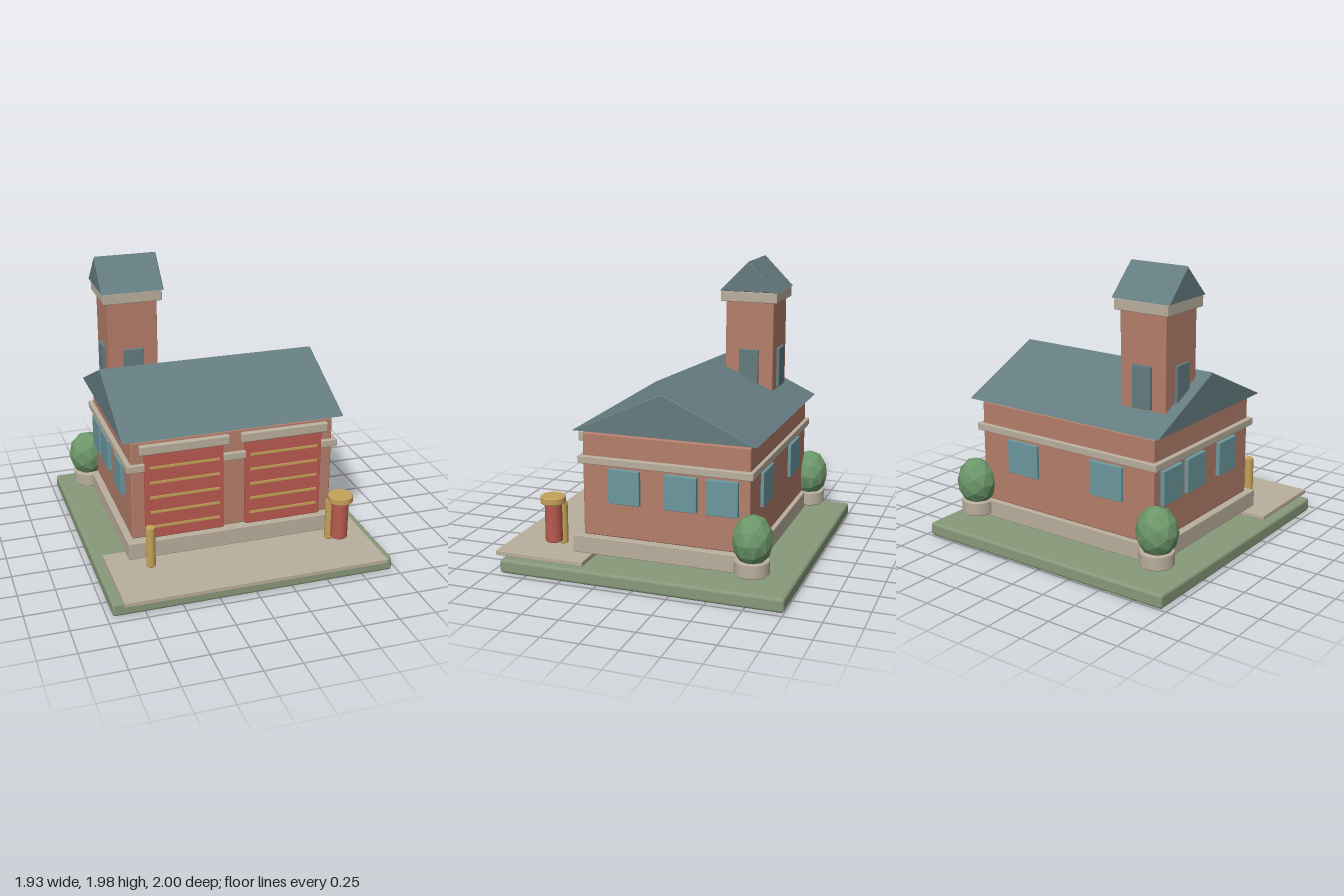
import * as THREE from 'three';
import { RoundedBoxGeometry } from 'three/addons/geometries/RoundedBoxGeometry.js';

function mat(name, color, flat = false) {
  const m = new THREE.MeshStandardMaterial({ color, flatShading: flat });
  m.name = name;
  return m;
}

export function createModel() {
  const brick = mat('brick', 0xb47e6b);
  const stone = mat('stone', 0xbaaf9d);
  const slate = mat('slate', 0x647c80, true);
  const grass = mat('grass', 0x87997a);
  const leaf = mat('leaf', 0x6c976a, true);
  const red = mat('red', 0xb95a4e);
  const gold = mat('gold', 0xc4a258);
  const glass = mat('glass', 0x6c989f);

  const model = new THREE.Group();
  model.name = 'fireStation';

  const add = (name, geometry, material, x, y, z) => {
    const mesh = new THREE.Mesh(geometry, material);
    mesh.name = name;
    mesh.position.set(x, y, z);
    model.add(mesh);
    return mesh;
  };

  // Softly bevelled box given by its limits on each axis
  const box = (name, material, [x0, x1], [y0, y1], [z0, z1], r = 0.006) => {
    const w = x1 - x0, h = y1 - y0, d = z1 - z0;
    const geometry = r > 0 ? new RoundedBoxGeometry(w, h, d, 2, r) : new THREE.BoxGeometry(w, h, d);
    return add(name, geometry, material, (x0 + x1) / 2, (y0 + y1) / 2, (z0 + z1) / 2);
  };

  // Upright cylinder with chamfered rims
  const post = (name, material, r, y0, y1, x, z, c = 0.006) => {
    const profile = [[0, y0], [r - c, y0], [r, y0 + c], [r, y1 - c], [r - c, y1], [0, y1]];
    const points = [];
    profile.forEach(([px, py], i) => {
      points.push(new THREE.Vector2(px, py));
      // doubled points keep the rims crisp
      if (i > 0 && i < 5) points.push(new THREE.Vector2(px, py));
    });
    return add(name, new THREE.LatheGeometry(points, 24), material, x, 0, z);
  };

  // Solid gable roof with its ridge along x
  const gable = (name, [x0, x1], [y0, y1], [z0, z1], bevel) => {
    const half = (z1 - z0) / 2;
    const shape = new THREE.Shape();
    shape.moveTo(-half, 0);
    shape.lineTo(half, 0);
    shape.lineTo(0, y1 - y0);
    shape.closePath();
    const geometry = new THREE.ExtrudeGeometry(shape, {
      depth: x1 - x0 - 2 * bevel, bevelEnabled: true, bevelSegments: 1,
      bevelSize: bevel, bevelThickness: bevel, bevelOffset: -bevel,
    });
    geometry.translate(0, 0, -(x1 - x0) / 2 + bevel);
    geometry.rotateY(Math.PI / 2);
    return add(name, geometry, slate, (x0 + x1) / 2, y0, (z0 + z1) / 2);
  };

  // Ground
  box('lawn', grass, [-0.965, 0.965], [0, 0.095], [-1, 0.94], 0.02);
  box('forecourt', stone, [-0.9, 0.9], [0.095, 0.127], [0.37, 1], 0.004);

  // Main hall
  box('plinth', stone, [-0.748, 0.748], [0.13, 0.25], [-0.73, 0.5]);
  box('walls', brick, [-0.705, 0.705], [0.25, 0.948], [-0.705, 0.437], 0.01);
  box('stoneBand', stone, [-0.737, 0.737], [0.745, 0.796], [-0.73, 0.464]);
  gable('mainRoof', [-0.767, 0.767], [0.971, 1.26], [-0.76, 0.485], 0.008);

  // Garage doors with slats and lintels
  for (const side of [-1, 1]) {
    const cx = side * 0.348;
    box('garageDoor', red, [cx - 0.27, cx + 0.27], [0.254, 0.875], [0.43, 0.468]);
    box('doorLintel', stone, [cx - 0.307, cx + 0.307], [0.872, 0.94], [0.452, 0.491], 0.01);
    for (let i = 0; i < 5; i++) {
      const y = 0.34 + i * 0.108;
      box('doorSlat', gold, [cx - 0.24, cx + 0.24], [y - 0.008, y + 0.008], [0.466, 0.476], 0);
    }
  }

  // Hall windows
  for (const side of [-1, 1]) {
    for (const z of [0.142, -0.247, -0.523]) {
      const xs = side > 0 ? [0.7, 0.733] : [-0.733, -0.7];
      box('sideWindow', glass, xs, [0.49, 0.724], [z - 0.108, z + 0.108], 0.004);
    }
    const cx = side * 0.345;
    box('backWindow', glass, [cx - 0.126, cx + 0.126], [0.49, 0.724], [-0.727, -0.7], 0.004);
  }

  // Tower
  const tx = -0.511, tz = -0.378;
  box('tower', brick, [tx - 0.172, tx + 0.172], [0.94, 1.7], [tz - 0.172, tz + 0.172]);
  box('towerCap', stone, [tx - 0.202, tx + 0.202], [1.692, 1.766], [tz - 0.202, tz + 0.202]);
  gable('towerRoof', [tx - 0.215, tx + 0.215], [1.766, 1.976], [tz - 0.209, tz + 0.209], 0.006);
  for (let i = 0; i < 4; i++) {
    const a = i * Math.PI / 2;
    const pane = add('towerWindow', new RoundedBoxGeometry(0.14, 0.28, 0.03, 2, 0.004), slate,
      tx + Math.sin(a) * 0.177, 1.218, tz + Math.cos(a) * 0.177);
    pane.rotation.y = a;
  }

  // Potted bushes at the back corners and bollards at the front
  for (const side of [-1, 1]) {
    post('planter', stone, 0.114, 0.148, 0.246, side * 0.752, -0.735);
    const bush = add('bush', new THREE.IcosahedronGeometry(1, 1), leaf, side * 0.754, 0.37, -0.738);
    bush.scale.set(0.143, 0.17, 0.132);
    post('bollard', gold, 0.031, 0.138, 0.431, side * 0.63, 0.625);
  }

  // Hydrant
  post('hydrantBody', red, 0.058, 0.165, 0.435, 0.685, 0.67);
  post('hydrantCap', gold, 0.085, 0.434, 0.484, 0.685, 0.67);

  return model;
}
